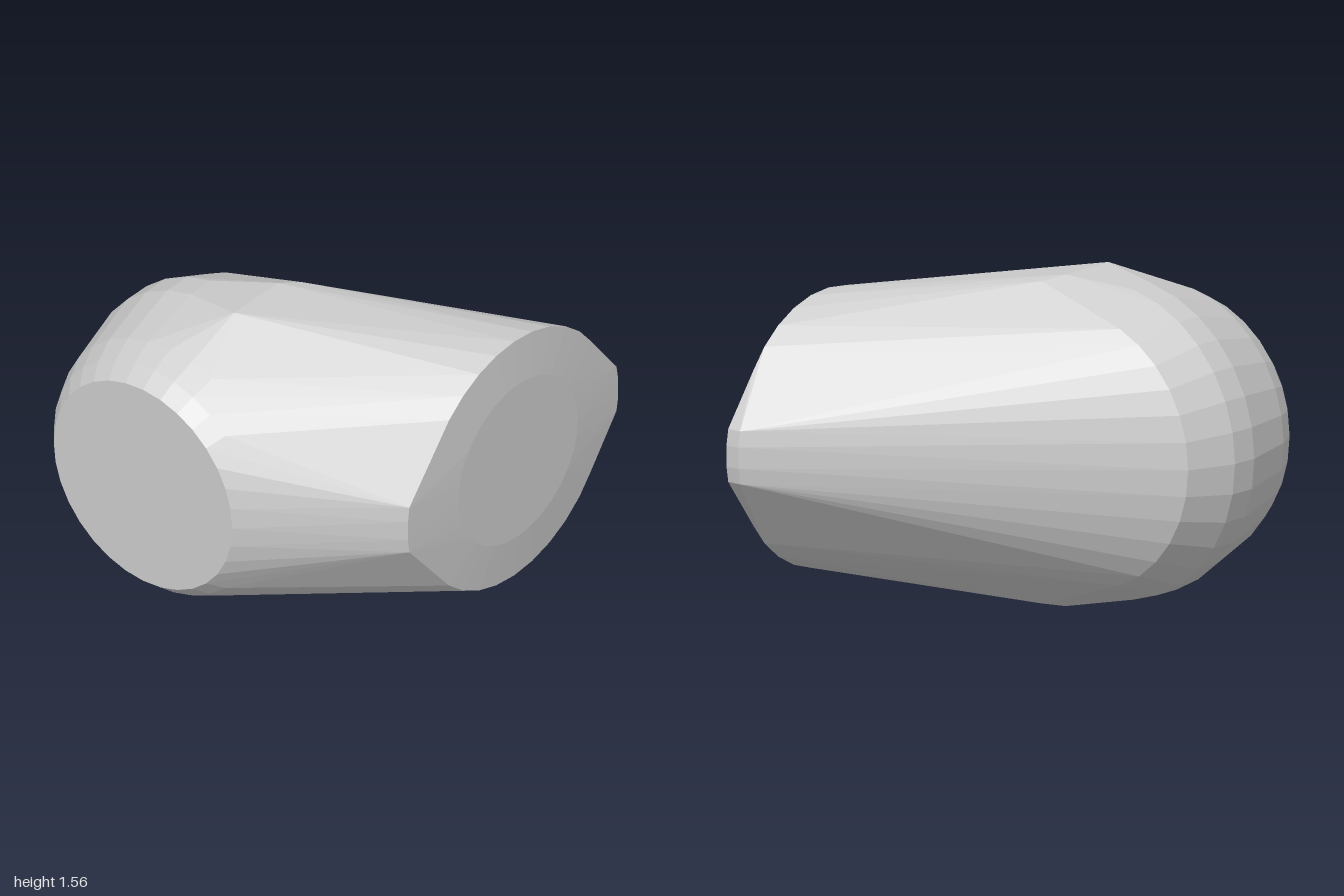
import * as THREE from 'three';
import { ConvexGeometry } from 'three/addons/geometries/ConvexGeometry.js';

const MID_Y = 0.783;
const SEGMENTS = 32;

// Points of a circle, each placed by a rule from its two offsets
function ring(radius, place) {
  return Array.from({ length: SEGMENTS }, (_, i) => {
    const a = (i / SEGMENTS) * Math.PI * 2;
    return place(radius * Math.cos(a), radius * Math.sin(a));
  });
}

export function createModel() {
  const group = new THREE.Group();
  group.name = 'slantedBody';
  const points = [];

  // Round rear drum, its axis along x: [x, radius]
  const drum = [[-1, 0.535], [-0.92, 0.602], [-0.81, 0.657], [-0.49, 0.745], [-0.35, 0.745], [-0.12, 0.655]];
  for (const [x, r] of drum) {
    points.push(...ring(r, (u, v) => new THREE.Vector3(x, MID_Y + v, -0.22 + u)));
  }

  // Round front plate with a slightly raised centre: [z, radius]
  for (const [z, r] of [[0.942, 0.655], [0.965, 0.425]]) {
    points.push(...ring(r, (u, v) => new THREE.Vector3(0.26 + u, MID_Y + v, z)));
  }

  // Corners mirrored above and below the middle: [x, height from middle, z]
  const corners = [
    // ridges of the widest section
    [-0.53, 0.782, -0.07], [-0.22, 0.782, -0.07], [-0.12, 0.76, -0.01],
    // pointed sides of the front plate
    [-0.485, 0.125, 0.942], [-0.495, 0.05, 0.942],
    [0.985, 0.125, 0.942], [0.998, 0.05, 0.942],
    [0.988, 0.125, 0.87], [1, 0.05, 0.87],
  ];
  for (const [x, h, z] of corners) {
    for (const s of [1, -1]) points.push(new THREE.Vector3(x, MID_Y + s * h, z));
  }

  // Faceted skin stretched over all sections
  const shell = new THREE.Mesh(
    new ConvexGeometry(points),
    new THREE.MeshStandardMaterial({ color: 0xcccccc, flatShading: true })
  );
  shell.name = 'shell';
  group.add(shell);
  return group;
}
